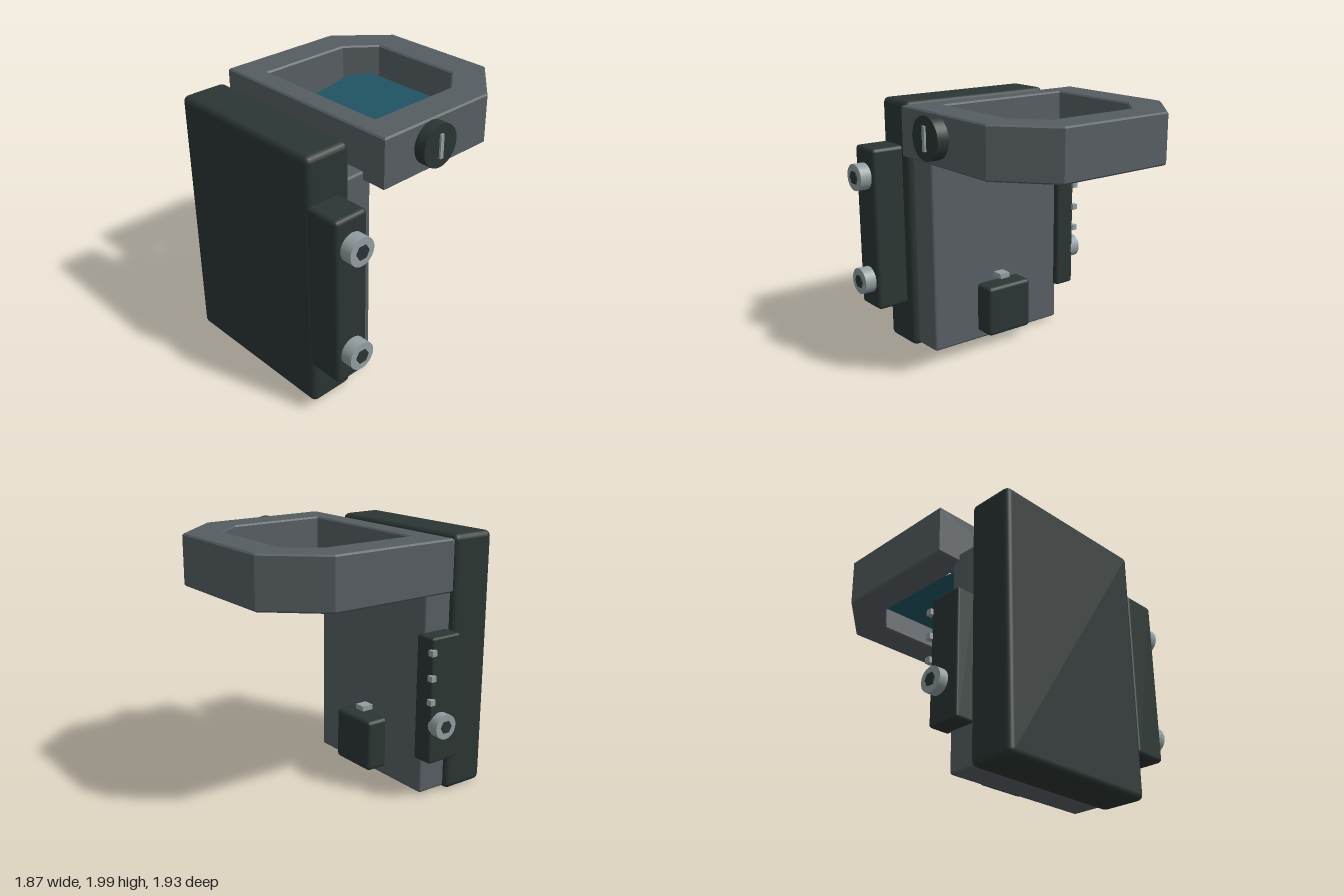
import * as THREE from 'three';
import { RoundedBoxGeometry } from 'three/addons/geometries/RoundedBoxGeometry.js';

const mat = (name, color) => {
  const m = new THREE.MeshStandardMaterial({ color });
  m.name = name;
  return m;
};

export function createModel() {
  const model = new THREE.Group();
  model.name = 'opticDevice';
  const dark = mat('dark housing', 0x2b3533);
  const grey = mat('grey metal', 0x565d61);
  const steel = mat('bright steel', 0x919d9f);
  const glass = mat('teal glass', 0x205463);
  glass.side = THREE.DoubleSide;

  const add = (name, geometry, material, parent = model) => {
    const mesh = new THREE.Mesh(geometry, material);
    mesh.name = name;
    parent.add(mesh);
    return mesh;
  };

  // Box given by its limits on each axis, with softened edges if r > 0
  const box = (name, [x0, x1], [y0, y1], [z0, z1], r, material) => {
    const size = [x1 - x0, y1 - y0, z1 - z0];
    const g = r > 0 ? new RoundedBoxGeometry(...size, 2, r) : new THREE.BoxGeometry(...size);
    add(name, g, material).position.set((x0 + x1) / 2, (y0 + y1) / 2, (z0 + z1) / 2);
  };

  // Cylinder lying along x
  const disc = (name, r, x0, x1, sides, material, parent) => {
    const g = new THREE.CylinderGeometry(r, r, x1 - x0, sides);
    g.rotateZ(-Math.PI / 2);
    add(name, g, material, parent).position.x = (x0 + x1) / 2;
  };

  // Body plates
  box('frontHousing', [-0.76, 0.575], [0.01, 1.99], [0.605, 0.965], 0.045, dark);
  box('backPlate', [-0.715, 0.525], [0.03, 1.69], [0.37, 0.65], 0.02, grey);
  box('sideMount', [0.54, 0.83], [0.355, 1.645], [0.695, 0.965], 0.03, dark);
  box('sideStrip', [-0.86, -0.69], [0.33, 1.295], [0.32, 0.59], 0.02, dark);
  box('batteryBox', [-0.3, 0.11], [0.1, 0.51], [0.205, 0.4], 0.03, dark);
  box('latch', [-0.14, -0.05], [0.54, 0.58], [0.275, 0.38], 0, steel);

  // Small contacts along the rear edge of the strip
  for (const y of [0.82, 1.0, 1.19]) {
    box('contact', [-0.885, -0.84], [y - 0.022, y + 0.022], [0.297, 0.34], 0, steel);
  }

  // Window frame with cut corners at the back
  const outer = [[-0.91, 0.44], [0.72, 0.44], [0.72, -0.58], [0.38, -0.965], [-0.57, -0.965], [-0.91, -0.58]];
  const inner = [[-0.65, 0.27], [0.46, 0.27], [0.46, -0.48], [0.28, -0.7], [-0.47, -0.7], [-0.65, -0.48]];
  const toPoints = (list) => list.map(([x, z]) => new THREE.Vector2(x, -z));
  const shape = new THREE.Shape(toPoints(outer));
  shape.holes.push(new THREE.Path(toPoints(inner).reverse()));
  const bevel = 0.012;
  const frame = new THREE.ExtrudeGeometry(shape, {
    depth: 0.38 - 2 * bevel, bevelEnabled: true, bevelThickness: bevel,
    bevelSize: bevel, bevelOffset: -bevel, bevelSegments: 1,
  });
  frame.rotateX(-Math.PI / 2);
  add('windowFrame', frame, grey).position.y = 1.62 + bevel;

  // Glass pane, rising towards the back
  const rise = 0.13, run = 0.915;
  const pane = add('glassPane', new THREE.BoxGeometry(1.06, 0.008, Math.hypot(rise, run)), glass);
  pane.position.set(-0.095, 1.705, -0.193);
  pane.rotation.x = Math.atan2(rise, run);

  // Adjustment knob with slot marker
  const knob = new THREE.Group();
  knob.name = 'knob';
  knob.position.set(0, 1.83, 0);
  model.add(knob);
  disc('knobBody', 0.16, 0.7, 0.81, 40, dark, knob);
  add('knobSlot', new THREE.BoxGeometry(0.03, 0.18, 0.03), steel, knob).position.x = 0.81;

  // Socket bolts, side = +1 or -1 for the direction they face
  const bolt = (x, y, z, r, length, side) => {
    const g = new THREE.Group();
    g.name = 'bolt';
    g.position.set(x, y, z);
    if (side < 0) g.rotation.y = Math.PI;
    model.add(g);
    disc('boltHead', r, -0.02, length, 28, steel, g);
    disc('hexSocket', r * 0.52, length - 0.02, length + 0.009, 6, dark, g);
  };
  bolt(0.83, 1.42, 0.83, 0.105, 0.092, 1);
  bolt(0.83, 0.585, 0.83, 0.105, 0.092, 1);
  bolt(-0.86, 0.63, 0.41, 0.095, 0.07, -1);

  return model;
}
